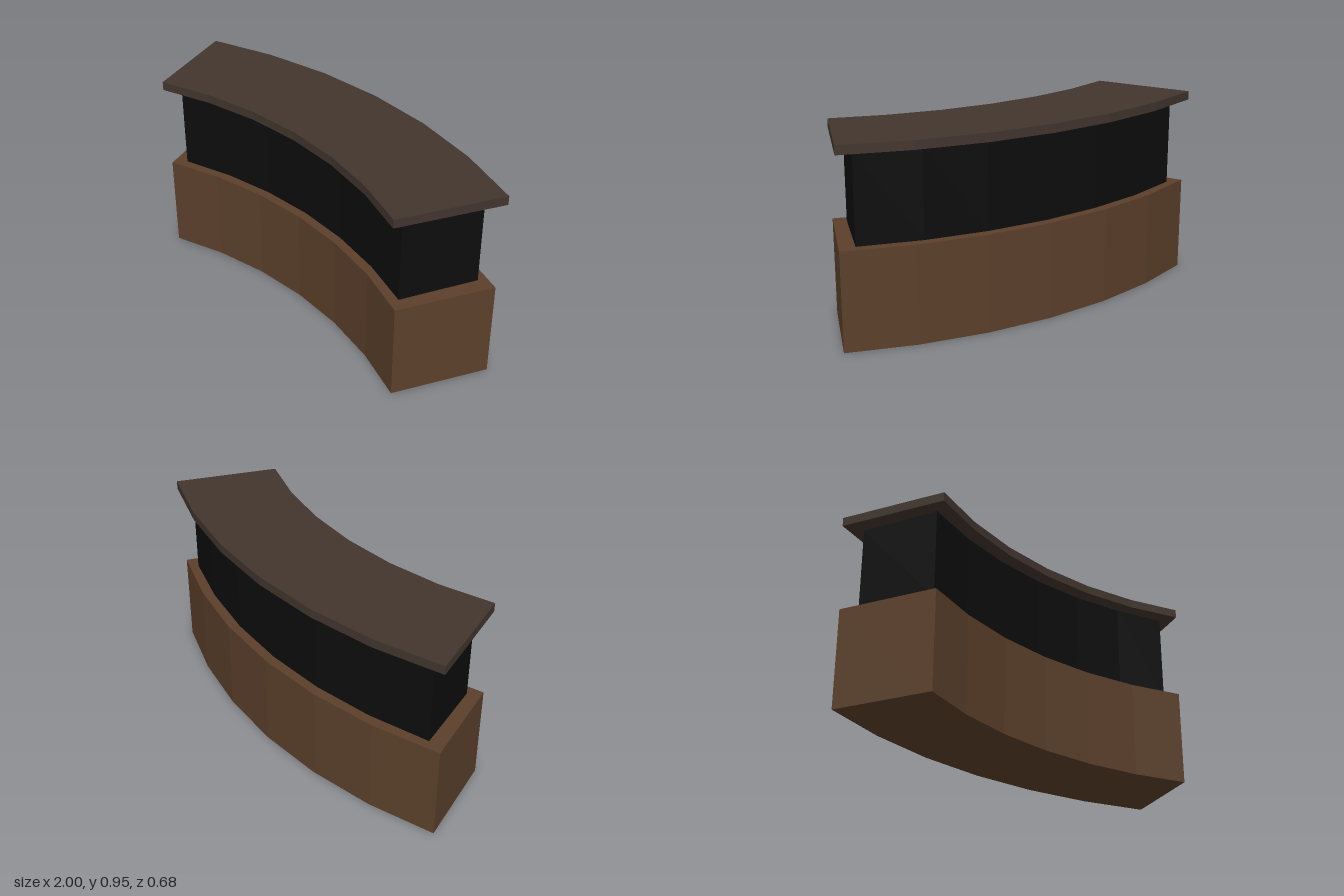
import * as THREE from 'three';

const CENTRE_Z = 2.274; // common centre of all arcs, in front of the counter
const SEGMENTS = 6;

// Curved slab between two radii, spanning +-angle (degrees), from y0 to y1
function arcSlab(name, inner, outer, angle, y0, y1, material) {
  const half = THREE.MathUtils.degToRad(angle);
  const point = (r, i) => {
    const a = -half + (2 * half * i) / SEGMENTS;
    return new THREE.Vector2(r * Math.sin(a), r * Math.cos(a) - CENTRE_Z);
  };
  const points = [];
  for (let i = 0; i <= SEGMENTS; i++) points.push(point(inner, i));
  for (let i = SEGMENTS; i >= 0; i--) points.push(point(outer, i));
  const geometry = new THREE.ExtrudeGeometry(new THREE.Shape(points), {
    depth: y1 - y0,
    bevelEnabled: false,
  });
  geometry.rotateX(-Math.PI / 2);
  geometry.translate(0, y0, 0);
  const mesh = new THREE.Mesh(geometry, material);
  mesh.name = name;
  return mesh;
}

export function createModel() {
  const material = (name, color) => {
    const m = new THREE.MeshStandardMaterial({ color, flatShading: true });
    m.name = name;
    return m;
  };
  const wood = material('brownWood', 0x5c402b);
  const black = material('blackPanel', 0x0d0d0d);
  const darkWood = material('darkWood', 0x42352e);

  const group = new THREE.Group();
  group.name = 'curvedCounter';
  group.add(
    // Wide wooden plinth
    arcSlab('base', 2.117, 2.595, 22.5, 0, 0.477, wood),
    // Recessed dark body
    arcSlab('body', 2.162, 2.546, 20.82, 0.477, 0.91, black),
    // Overhanging worktop
    arcSlab('countertop', 2.094, 2.613, 22.5, 0.91, 0.953, darkWood),
  );
  return group;
}
